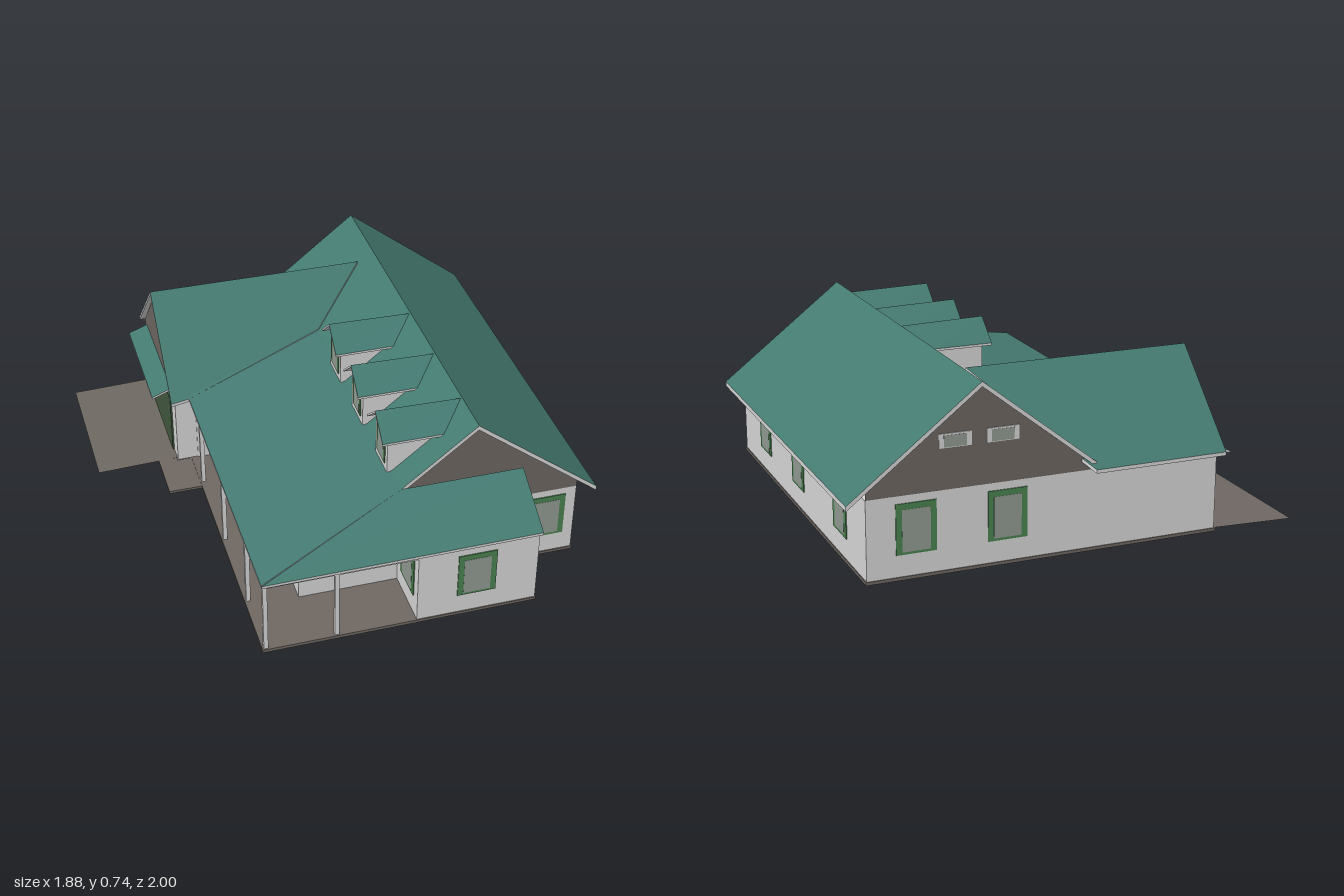
import * as THREE from 'three';

const mat = (name, color, side = THREE.FrontSide) => {
  const m = new THREE.MeshStandardMaterial({ color, side });
  m.name = name;
  return m;
};

export function createModel() {
  const house = new THREE.Group();
  house.name = 'house';
  const D = THREE.DoubleSide;
  const wallMat = mat('wall white', 0xd9d9d9, D);
  const roofMat = mat('roof green', 0x457b72, D);
  const brownMat = mat('brown siding and paving', 0x6f6863, D);
  const frameMat = mat('window frame green', 0x4a8450);
  const glassMat = mat('window glass', 0x939b93);
  const doorMat = mat('garage door green', 0x42583f);

  const add = (name, geo, material, parent = house) => {
    const m = new THREE.Mesh(geo, material);
    m.name = name;
    parent.add(m);
    return m;
  };
  const box = (name, material, x0, x1, y0, y1, z0, z1, parent = house) => {
    const m = add(name, new THREE.BoxGeometry(x1 - x0, y1 - y0, z1 - z0), material, parent);
    m.position.set((x0 + x1) / 2, (y0 + y1) / 2, (z0 + z1) / 2);
    return m;
  };
  // Flat convex polygon from 3D corners
  const polygon = (name, pts, material, parent = house) => {
    const v = [];
    for (let i = 1; i < pts.length - 1; i++) v.push(...pts[0], ...pts[i], ...pts[i + 1]);
    const g = new THREE.BufferGeometry();
    g.setAttribute('position', new THREE.Float32BufferAttribute(v, 3));
    g.computeVertexNormals();
    return add(name, g, material, parent);
  };
  // Roof panel: green top, white edges and underside
  const roofPanel = (name, corners, t = 0.02, parent = house) => {
    const [a, b, c] = corners.map(p => new THREE.Vector3(...p));
    const up = b.clone().sub(a).cross(c.clone().sub(a)).y > 0;
    const pts = up ? corners : [...corners].reverse();
    const n = pts.length, v = [];
    const low = pts.map(([x, y, z]) => [x, y - t, z]);
    for (let i = 1; i < n - 1; i++) v.push(...pts[0], ...pts[i], ...pts[i + 1]);
    const topCount = (n - 2) * 3;
    for (let i = 1; i < n - 1; i++) v.push(...low[0], ...low[i + 1], ...low[i]);
    for (let i = 0; i < n; i++) {
      const j = (i + 1) % n;
      v.push(...pts[i], ...low[i], ...low[j], ...pts[i], ...low[j], ...pts[j]);
    }
    const g = new THREE.BufferGeometry();
    g.setAttribute('position', new THREE.Float32BufferAttribute(v, 3));
    g.computeVertexNormals();
    g.addGroup(0, topCount, 0);
    g.addGroup(topCount, v.length / 3 - topCount, 1);
    return add(name, g, [roofMat, wallMat], parent);
  };
  // Window centred on a wall; turn rotates it about y
  const windowUnit = (x, z, turn, y = 0.2, w = 0.16, h = 0.2, frame = frameMat) => {
    const g = new THREE.Group();
    g.name = 'window';
    box('windowFrame', frame, -w / 2, w / 2, -h / 2, h / 2, -0.004, 0.004, g);
    box('windowGlass', glassMat, -w * 0.35, w * 0.35, -h * 0.45, h * 0.38, -0.0049, 0.0049, g);
    g.position.set(x, y, z);
    g.rotation.y = turn;
    house.add(g);
  };

  // Walls follow the footprint (x, z), with a thin brown base strip
  const H = 0.33;
  const plan = [[0.86, -0.96], [0.86, 0.73], [0.6, 0.73], [0.6, 0.985], [0.1, 0.985], [0.1, 0.73],
    [-0.315, 0.73], [-0.315, 0], [0, 0], [0, -0.3], [-0.59, -0.3], [-0.59, -0.96]];
  plan.forEach(([x, z], i) => {
    const [u, w] = plan[(i + 1) % plan.length];
    polygon('wall', [[x, 0, z], [x, H, z], [u, H, w], [u, 0, w]], wallMat);
    const e = 0.004;
    box('baseStrip', brownMat, Math.min(x, u) - e, Math.max(x, u) + e, 0, 0.013,
      Math.min(z, w) - e, Math.max(z, w) + e);
  });
  const ceiling = new THREE.ShapeGeometry(new THREE.Shape(plan.map(([x, z]) => new THREE.Vector2(x, -z))));
  ceiling.rotateX(-Math.PI / 2);
  add('ceiling', ceiling, wallMat).position.y = H - 0.003;

  // Upper walls of the front room
  for (const x of [0.1, 0.6]) {
    polygon('frontRoomSide', [[x, H, 0.985], [x, 0.34, 0.985], [x, 0.48, 0.74], [x, H, 0.74]], wallMat);
  }

  // Gable ends
  polygon('frontGable', [[0.1, H, 0.73], [0.86, H, 0.73], [0.86, 0.37, 0.73], [0.41, 0.72, 0.73], [0.1, 0.475, 0.73]], brownMat);
  polygon('backGable', [[0.41, 0.72, -0.96], [0.86, 0.37, -0.96], [0.86, H, -0.96], [-0.07, H, -0.96], [-0.07, 0.345, -0.96]], brownMat);
  polygon('garageGable', [[-0.59, H, -0.96], [-0.59, H, -0.3], [-0.59, 0.35, -0.3], [-0.59, 0.675, -0.64], [-0.59, 0.35, -0.96]], brownMat);

  // Main roof, shallow porch roof and front hip
  roofPanel('mainRoofLeft', [[0.41, 0.735, -0.98], [0.41, 0.735, 0.75], [0.94, 0.325, 0.75], [0.94, 0.325, -0.98]]);
  roofPanel('mainRoofRight', [[0.41, 0.735, 0.75], [0.1, 0.49, 0.75], [0.1, 0.49, -0.44], [-0.06, 0.364, -0.98], [0.41, 0.735, -0.98]]);
  roofPanel('porchRoofSide', [[0.1, 0.49, 0.75], [-0.53, 0.345, 0.99], [-0.53, 0.345, -0.28], [0.1, 0.49, -0.44]], 0.012);
  roofPanel('porchRoofFront', [[0.1, 0.49, 0.75], [0.61, 0.49, 0.75], [0.61, 0.35, 0.995], [-0.53, 0.345, 0.995]], 0.012);

  // Garage wing roof and door canopy
  roofPanel('garageRoofFront', [[-0.61, 0.69, -0.64], [0.34, 0.69, -0.64], [0.1, 0.495, -0.44], [-0.53, 0.345, -0.28], [-0.61, 0.335, -0.275]], 0.015);
  roofPanel('garageRoofBack', [[-0.61, 0.69, -0.64], [0.34, 0.69, -0.64], [-0.05, 0.34, -1], [-0.61, 0.34, -1]], 0.015);
  roofPanel('garageCanopy', [[-0.59, 0.345, -0.92], [-0.59, 0.345, -0.38], [-0.675, 0.312, -0.38], [-0.675, 0.312, -0.92]], 0.01);
  box('garageDoor', doorMat, -0.597, -0.588, 0.014, 0.29, -0.92, -0.38);

  // Dormers
  for (const z of [-0.1, 0.22, 0.55]) {
    const d = new THREE.Group();
    d.name = 'dormer';
    house.add(d);
    for (const s of [-1, 1]) {
      roofPanel('dormerRoof', [[0.05, 0.74, z], [0.405, 0.732, z], [0.305, 0.65, z + s * 0.105], [0.05, 0.65, z + s * 0.105]], 0.01, d);
      const w = z + s * 0.075;
      polygon('dormerCheek', [[0.08, 0.46, w], [0.08, 0.67, w], [0.32, 0.67, w]], wallMat, d);
    }
    polygon('dormerFace', [[0.08, 0.46, z - 0.075], [0.08, 0.46, z + 0.075], [0.08, 0.667, z + 0.075],
      [0.08, 0.73, z], [0.08, 0.667, z - 0.075]], wallMat, d);
    windowUnit(0.08, z, Math.PI / 2, 0.585, 0.1, 0.14);
  }

  // Windows by wall
  const Q = Math.PI / 2;
  for (const z of [0.385, -0.1, -0.655]) windowUnit(0.86, z, Q);
  windowUnit(0.735, 0.73, 0);
  windowUnit(0.345, 0.985, 0);
  windowUnit(-0.12, 0.73, 0);
  windowUnit(0.1, 0.86, Q);
  windowUnit(-0.315, 0.48, Q);
  for (const x of [0.665, 0.3]) windowUnit(x, -0.96, 0);
  for (const x of [0.51, 0.32]) windowUnit(x, -0.96, 0, 0.52, 0.13, 0.055, wallMat);

  // Plain white doors onto the porch
  box('entryDoor', wallMat, -0.005, 0.004, 0.014, 0.28, -0.21, -0.09);
  box('garageSideDoor', wallMat, -0.5, -0.38, 0.014, 0.28, -0.304, -0.295);

  // Porch posts and beams
  for (const [x, z] of [[-0.515, 0.975], [-0.228, 0.975], [-0.515, 0.69], [-0.515, 0.29], [-0.515, -0.12]]) {
    box('porchPost', wallMat, x - 0.009, x + 0.009, 0.01, 0.335, z - 0.009, z + 0.009);
  }
  box('porchBeamSide', wallMat, -0.526, -0.506, 0.322, 0.338, -0.29, 0.985);
  box('porchBeamFront', wallMat, -0.526, 0.1, 0.322, 0.338, 0.966, 0.985);

  // Porch deck pieces around the walls, path and sloping driveway
  box('porchDeckSide', brownMat, -0.53, -0.315, 0, 0.014, -0.3, 0.99);
  box('porchDeckFront', brownMat, -0.315, 0.1, 0, 0.014, 0.73, 0.99);
  box('porchDeckEntry', brownMat, -0.315, 0, 0, 0.014, -0.3, 0);
  box('sidePath', brownMat, -0.675, -0.53, 0, 0.012, -0.315, -0.085);
  polygon('driveway', [[-0.945, 0.001, -0.96], [-0.945, 0.001, -0.315], [-0.59, 0.013, -0.315], [-0.59, 0.013, -0.96]], brownMat);

  return house;
}
